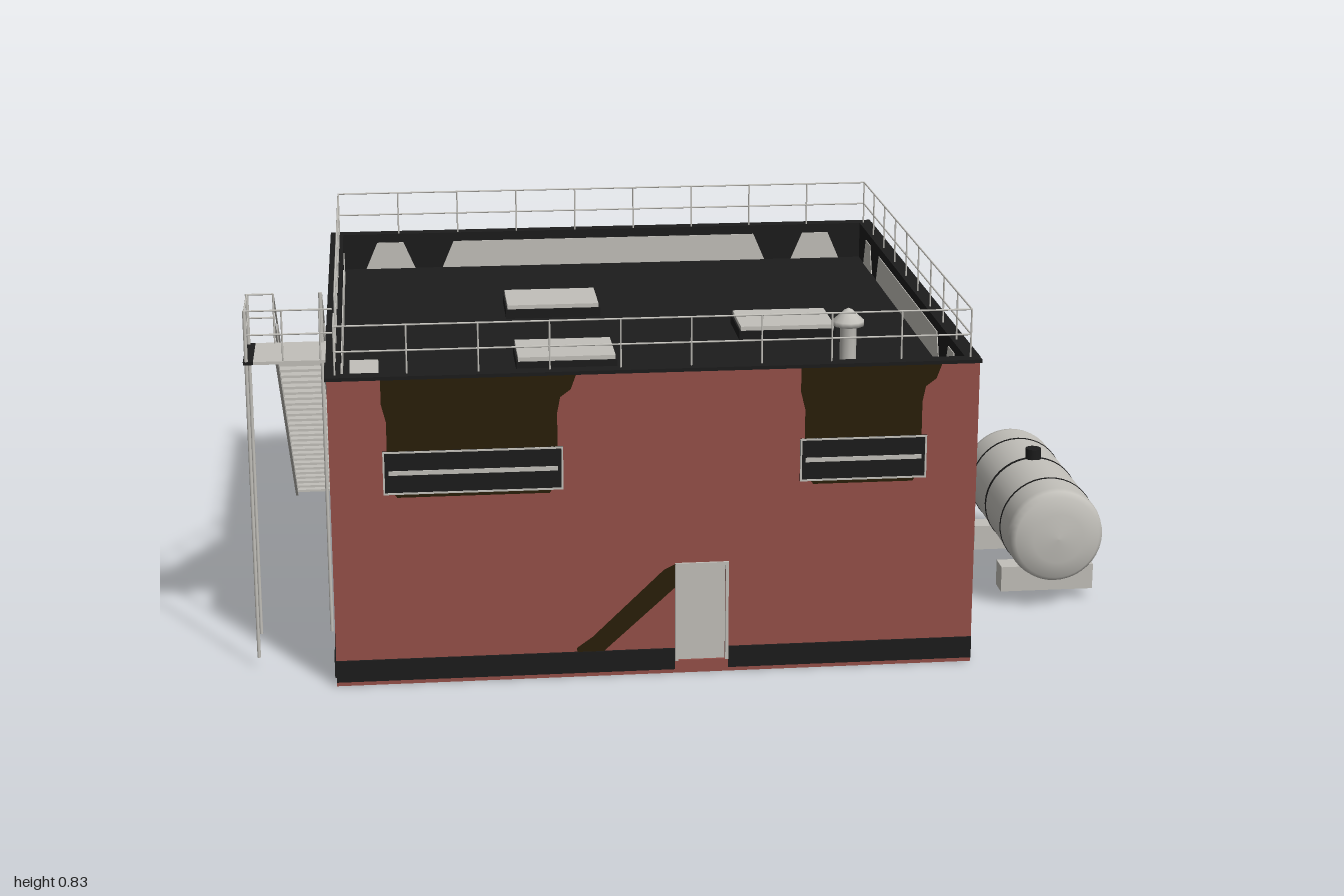
import * as THREE from 'three';

const mat = (name, color, side = THREE.FrontSide) => {
  const m = new THREE.MeshStandardMaterial({ color, side });
  m.name = name;
  return m;
};
const V = (x, y, z) => new THREE.Vector3(x, y, z);
const X0 = -0.815, X1 = 0.615, Z0 = -0.545, Z1 = 0.84, H = 0.705, T = 0.025, ROOF = 0.62;

export function createModel() {
  const brick = mat('brick red', 0x944f48);
  const black = mat('black', 0x1c1c1c);
  const light = mat('light grey', 0xc2c0ba);
  const soot = mat('soot brown', 0x291e09, THREE.DoubleSide);

  const model = new THREE.Group();
  const add = (parent, name, geo, m, x = 0, y = 0, z = 0) => {
    const mesh = new THREE.Mesh(geo, m);
    mesh.name = name;
    mesh.position.set(x, y, z);
    parent.add(mesh);
    return mesh;
  };
  // Box given by its limits
  const box = (p, name, m, x0, x1, y0, y1, z0, z1) =>
    add(p, name, new THREE.BoxGeometry(x1 - x0, y1 - y0, z1 - z0), m, (x0 + x1) / 2, (y0 + y1) / 2, (z0 + z1) / 2);
  // Thin round bar between two points
  const bar = (p, name, a, b, r = 0.002) => {
    const mesh = add(p, name, new THREE.CylinderGeometry(r, r, a.distanceTo(b), 14), light);
    mesh.position.copy(a).add(b).multiplyScalar(0.5);
    mesh.quaternion.setFromUnitVectors(V(0, 1, 0), b.clone().sub(a).normalize());
  };
  const shapeOf = pts => new THREE.Shape(pts.map(p => new THREE.Vector2(...p)));
  const rect = (x0, x1, y0, y1) => [[x0, y0], [x1, y0], [x1, y1], [x0, y1]];

  // Wall in its own frame: x to the right seen from outside, z outwards
  function makeWall(name, pos, turn, x0, x1, holes, plinths) {
    const g = new THREE.Group();
    g.name = name;
    g.position.copy(pos);
    g.rotation.y = turn;
    model.add(g);
    const panel = (label, m, y0, y1, depth, z) => {
      const s = shapeOf(rect(x0, x1, y0, y1));
      if (y0 < 0.1) holes.forEach(h => s.holes.push(new THREE.Path(rect(...h).map(p => new THREE.Vector2(...p)))));
      add(g, label, new THREE.ExtrudeGeometry(s, { depth, bevelEnabled: false }), m, 0, 0, z);
    };
    panel('wall', brick, 0, H, T, -T);
    panel('innerLining', light, 0.026, ROOF - 0.02, 0.004, -T - 0.004);
    panel('parapetLining', black, ROOF, H, 0.004, -T - 0.004);
    // Pale panels inside the parapet
    const w = x1 - x0;
    [[0.06, 0.15], [0.2, 0.8], [0.85, 0.94]].forEach(([a, b]) => add(g, 'parapetPanel',
      new THREE.ExtrudeGeometry(shapeOf([[x0 + a * w, ROOF], [x0 + b * w, ROOF], [x0 + b * w - 0.03, H - 0.015], [x0 + a * w + 0.03, H - 0.015]]),
        { depth: 0.002, bevelEnabled: false }), light, 0, 0, -T - 0.006));
    box(g, 'coping', black, x0 - 0.004, x1 + 0.004, H, H + 0.008, -T - 0.004, 0.005);
    plinths.forEach(([a, b]) => box(g, 'plinth', black, a, b, 0.01, 0.06, -0.003, 0.004));
    return g;
  }
  const stain = (g, pts) => add(g, 'sootStain', new THREE.ShapeGeometry(shapeOf(pts)), soot, 0, 0, 0.002);

  // Framed strip window with soot rising above it
  function makeWindow(g, x0, x1, y0 = 0.445, y1 = 0.543, flare = 0.03) {
    stain(g, [[x0 + 0.03, y0 - 0.008], [x1 - 0.03, y0 - 0.008], [x1 - 0.012, y0 + 0.02], [x1 - 0.012, 0.62], [x1 - 0.005, 0.655],
      [x1 + flare * 0.6, 0.672], [x1 + flare, H], [x0, H], [x0, 0.65], [x0 + 0.01, 0.61], [x0 + 0.01, y0 + 0.02]]);
    box(g, 'windowGlass', black, x0, x1, y0, y1, -0.002, 0.004);
    const f = 0.004, ym = (y0 + y1) / 2;
    [[x0, x1, y0, y0 + f], [x0, x1, y1 - f, y1], [x0, x0 + f, y0, y1], [x1 - f, x1, y0, y1], [x0 + 0.012, x1 - 0.012, ym - 0.005, ym + 0.005]]
      .forEach(r => box(g, 'windowFrame', light, ...r, 0.003, 0.006));
  }
  // Corrugated shutter hanging inside an opening
  function makeShutter(g, x0, x1, y0, y1) {
    const n = Math.round((y1 - y0) / 0.028), pts = [[-0.006, y0]];
    for (let i = 0; i < n; i++) {
      const y = t => y0 + (y1 - y0) * (i + t) / n;
      pts.push([0, y(0)], [0.003, y(0.27)], [0.003, y(0.6)], [0, y(0.87)]);
    }
    pts.push([0, y1], [-0.006, y1]);
    const s = add(g, 'shutter', new THREE.ExtrudeGeometry(shapeOf(pts), { depth: x1 - x0, bevelEnabled: false }), light, x1, 0, -0.015);
    s.rotation.y = -Math.PI / 2;
  }
  function makeFrame(g, x0, x1, y0, y1, m, f = 0.007, depth = T) {
    [[x0 - f, x0, y0, y1 + f], [x1, x1 + f, y0, y1 + f], [x0, x1, y1, y1 + f]]
      .forEach(r => box(g, 'openingFrame', m, ...r, -depth, 0.005));
  }

  // Front wall: two windows, a door and a diagonal stain
  const front = makeWall('frontWall', V(0, 0, Z1), 0, X0, X1, [[-0.053, 0.053, 0.03, 0.255]], [[X0, -0.06], [0.06, X1]]);
  makeWindow(front, -0.7, -0.307);
  makeWindow(front, 0.217, 0.5);
  stain(front, [[-0.28, 0.06], [-0.22, 0.06], [-0.06, 0.205], [-0.06, 0.26], [-0.085, 0.248], [-0.245, 0.095], [-0.28, 0.07]]);
  makeFrame(front, -0.053, 0.053, 0.03, 0.255, light);
  box(front, 'frontDoor', light, -0.053, 0.053, 0.03, 0.255, -0.015, -0.005);

  // Side wall at +x: two shutters and a window
  const gates = [[-0.62, -0.28, 0.03, 0.413], [-0.186, 0.157, 0.03, 0.413]];
  const side = makeWall('leftSideWall', V(X1, 0, 0), Math.PI / 2, -Z1 + T, -Z0 - T, gates, [[-0.8, -0.63], [-0.27, -0.195], [0.167, 0.5]]);
  gates.forEach(r => { makeShutter(side, ...r); makeFrame(side, ...r, black, 0.004); });
  makeWindow(side, 0.24, 0.432, 0.445, 0.543, 0.08);

  // Back wall: half-open gate, empty doorway, two windows
  const gate = [-0.21, 0.22, 0.03, 0.425], doorway = [0.56, 0.67, 0.03, 0.26];
  const back = makeWall('backWall', V(0, 0, Z0), Math.PI, -X1, -X0, [gate, doorway], [[-X1, -0.22], [0.23, 0.552], [0.678, -X0]]);
  makeShutter(back, gate[0], gate[1], 0.265, gate[3]);
  makeFrame(back, ...gate, black, 0.004);
  makeFrame(back, ...doorway, light, 0.009, 0.05);
  makeWindow(back, -0.525, -0.3);
  makeWindow(back, 0.69, 0.765, 0.42, 0.53, 0.01);

  // Stair-side wall at -x
  const stairWall = makeWall('rightSideWall', V(X0, 0, 0), -Math.PI / 2, Z0 + T, Z1 - T, [], [[Z0 + T, Z1 - T]]);
  makeWindow(stairWall, -0.24, 0.07);

  // Floor and roof
  const ix0 = X0 + T, ix1 = X1 - T, iz0 = Z0 + T, iz1 = Z1 - T;
  box(model, 'floorSlab', light, ix0, ix1, 0.002, 0.016, iz0, iz1);
  box(model, 'floorTop', black, ix0, ix1, 0.016, 0.028, iz0, iz1);
  box(model, 'roofDeck', black, ix0, ix1, ROOF - 0.02, ROOF, iz0, iz1);
  [[-0.273, -0.045], [-0.273, 0.43], [0.27, 0.215]].forEach(([x, z]) => {
    box(model, 'skylightCurb', black, x - 0.116, x + 0.116, ROOF, 0.643, z - 0.082, z + 0.082);
    box(model, 'skylight', light, x - 0.112, x + 0.112, ROOF - 0.024, 0.653, z - 0.078, z + 0.078);
  });
  const lathe = (pts, n) => new THREE.LatheGeometry(pts.map(p => new THREE.Vector2(...p)), n);
  add(model, 'roofVent', lathe([[0.019, 0], [0.019, 0.12], [0.036, 0.125], [0.036, 0.136], [0.018, 0.152], [0.01, 0.16], [0, 0.165]], 12),
    light, 0.355, ROOF, 0.64);

  // Roof railing, leaving a gap at the landing
  const rail = new THREE.Group();
  rail.name = 'roofRailing';
  model.add(rail);
  const rx0 = -0.797, rx1 = 0.597, rz0 = -0.52, rz1 = 0.822;
  const runs = [[rx0, rz1, rx1, rz1], [rx1, rz1, rx1, rz0], [rx1, rz0, rx0, rz0], [rx0, rz0, rx0, 0.56], [rx0, 0.715, rx0, rz1]];
  runs.forEach(([xa, za, xb, zb]) => {
    [0.765, 0.822].forEach(y => bar(rail, 'rail', V(xa, y, za), V(xb, y, zb)));
    const n = Math.max(1, Math.round(Math.hypot(xb - xa, zb - za) / 0.155));
    for (let i = 0; i <= n; i++) {
      const x = xa + (xb - xa) * i / n, z = za + (zb - za) * i / n;
      bar(rail, 'railPost', V(x, H, z), V(x, 0.822, z));
    }
  });

  // Outside stair with landing
  const stair = new THREE.Group();
  stair.name = 'outsideStair';
  model.add(stair);
  const sa = V(0, 0.025, -0.47), sb = V(0, 0.705, 0.56), N = 28;
  for (let i = 0; i < N; i++) {
    const p = sa.clone().lerp(sb, (i + 0.5) / N);
    box(stair, 'tread', light, -0.928, -0.828, p.y - 0.003, p.y + 0.003, p.z - 0.018, p.z + 0.018);
  }
  const at = (x, t, dy) => sa.clone().lerp(sb, t).add(V(x, dy, 0));
  const half = sa.distanceTo(sb) / 2;
  [-0.932, -0.825].forEach(x => {
    const beam = box(stair, 'stringer', light, x - 0.003, x + 0.003, 0.353, 0.377, 0.045 - half, 0.045 + half);
    beam.rotation.x = -Math.atan2(sb.y - sa.y, sb.z - sa.z);
    [0.065, 0.125].forEach(dy => bar(stair, 'handrail', at(x, 0.02, dy), at(x, 1, dy)));
    for (let i = 0; i <= 6; i++) bar(stair, 'handrailPost', at(x, 0.02 + i * 0.163, 0), at(x, 0.02 + i * 0.163, 0.125));
  });
  box(stair, 'landing', light, -0.975, -0.818, 0.711, 0.718, 0.557, 0.715);
  box(stair, 'landingEdge', black, -0.997, -0.975, 0.711, 0.718, 0.557, 0.715);
  box(stair, 'roofStep', light, -0.767, -0.703, 0.662, 0.672, 0.557, 0.715);
  [0.565, 0.707].forEach(z => box(stair, 'roofStepLeg', light, -0.738, -0.732, ROOF, 0.662, z - 0.003, z + 0.003));
  [[-0.99, 0.565], [-0.99, 0.711], [-0.828, 0.565]].forEach(([x, z]) => bar(stair, 'landingPost', V(x, 0.025, z), V(x, 0.833, z), 0.004));
  [[-0.932, 0.565], [-0.91, 0.711], [-0.828, 0.711]].forEach(([x, z]) => bar(stair, 'landingRailPost', V(x, 0.715, z), V(x, 0.833, z)));
  [0.778, 0.832].forEach(y => {
    bar(stair, 'landingRail', V(-0.99, y, 0.565), V(-0.99, y, 0.711));
    bar(stair, 'landingRail', V(-0.99, y, 0.711), V(-0.8, y, 0.711));
    bar(stair, 'landingRail', V(-0.99, y, 0.565), V(-0.932, y, 0.565));
  });

  // Storage tank lying along z
  const tank = new THREE.Group();
  tank.name = 'tank';
  tank.position.set(0.881, 0.187, 0.293);
  model.add(tank);
  const end = [[0.114, 0.235], [0.111, 0.252], [0.1, 0.265], [0.06, 0.274], [0, 0.278]];
  const profile = [...end.map(([r, y]) => [r, -y]).reverse(), ...end];
  add(tank, 'tankShell', lathe(profile, 40), light).rotation.x = Math.PI / 2;
  [[-0.158, 0.005], [0, 0.008], [0.16, 0.005]].forEach(([z, w]) =>
    add(tank, 'tankBand', new THREE.CylinderGeometry(0.1155, 0.1155, w, 40), black, 0, 0, z).rotation.x = Math.PI / 2);
  add(tank, 'tankCap', new THREE.CylinderGeometry(0.019, 0.019, 0.04, 16), black, 0, 0.119, 0);
  [-0.145, 0.155].forEach(z => box(tank, 'tankSaddle', light, -0.112, 0.112, -0.162, -0.1, z - 0.027, z + 0.027));

  // Door leaf lying on the ground behind the building
  box(model, 'fallenDoor', light, -0.698, -0.588, 0.026, 0.031, -0.84, -0.622).rotation.y = 0.25;
  return model;
}
